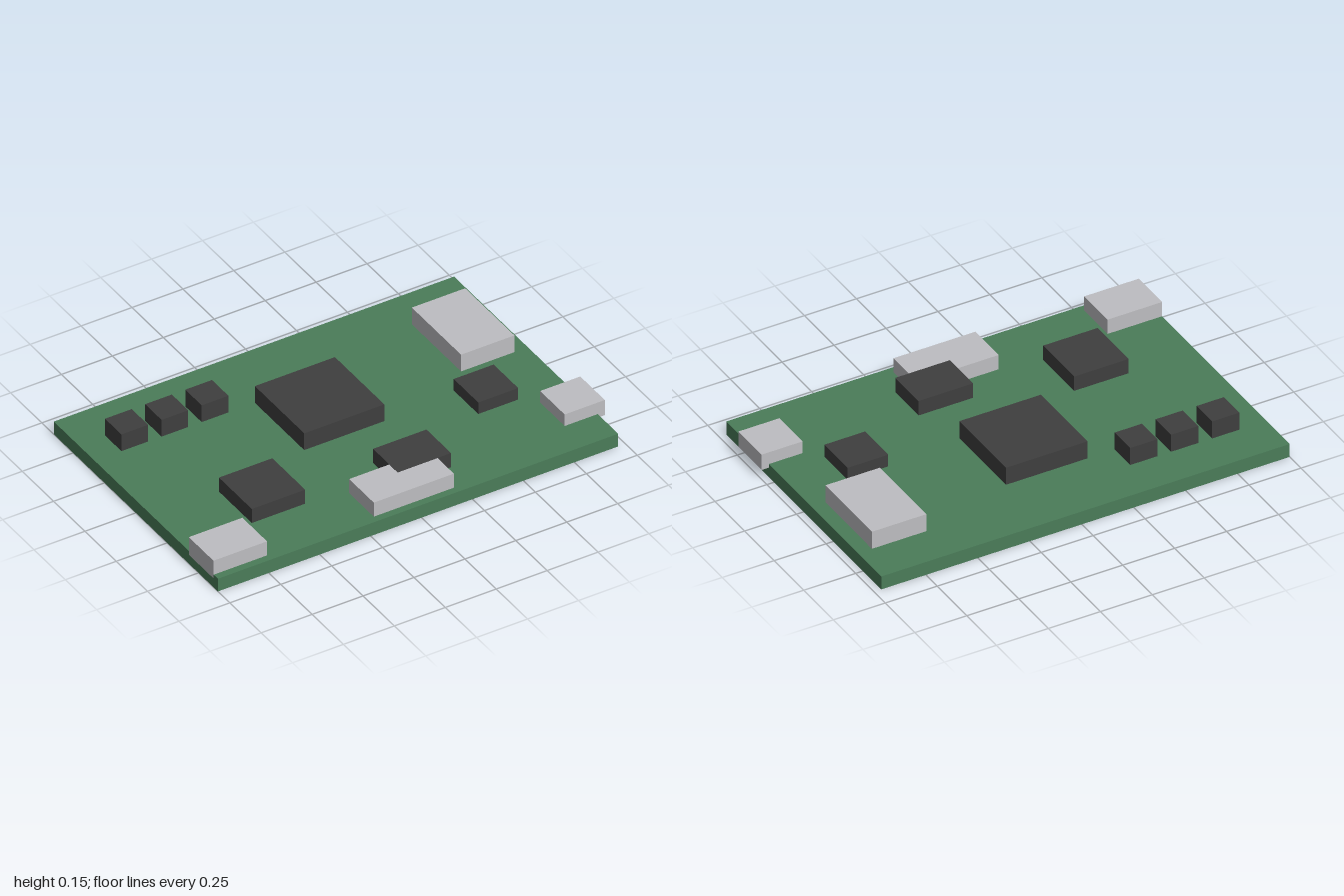
import * as THREE from 'three';

export function createModel() {
  const model = new THREE.Group();
  const material = (name, color) => {
    const m = new THREE.MeshStandardMaterial({ color });
    m.name = name;
    return m;
  };
  const green = material('boardGreen', 0x4a7c59);
  const silver = material('connectorSilver', 0xbdbdc1);
  const dark = material('chipDark', 0x3f3f3f);

  // Box given by its extents on each axis
  const block = (name, mat, [x0, x1], [y0, y1], [z0, z1]) => {
    const mesh = new THREE.Mesh(new THREE.BoxGeometry(x1 - x0, y1 - y0, z1 - z0), mat);
    mesh.name = name;
    mesh.position.set((x0 + x1) / 2, (y0 + y1) / 2, (z0 + z1) / 2);
    model.add(mesh);
  };

  // Circuit board
  block('board', green, [-1, 0.965], [0, 0.0655], [-0.655, 0.655]);

  // Components are seated slightly into the board
  const seat = 0.047;

  // Metal connectors
  block('networkConnector', silver, [0.637, 0.899], [seat, 0.152], [-0.459, -0.066]);
  block('sideConnector', silver, [0.803, 1], [seat, 0.125], [0.295, 0.491]);
  block('cornerConnector', silver, [-1.001, -0.738], [seat, 0.138], [0.424, 0.621]);
  block('frontConnector', silver, [-0.214, 0.179], [seat, 0.138], [0.424, 0.621]);

  // Integrated circuits
  block('mainProcessor', dark, [-0.214, 0.179], [seat, 0.152], [-0.328, 0.066]);
  block('memoryChip', dark, [-0.672, -0.41], [seat, 0.138], [0.13, 0.392]);
  block('frontChip', dark, [-0.017, 0.245], [seat, 0.139], [0.295, 0.491]);
  block('controllerChip', dark, [0.54, 0.736], [seat, 0.125], [0.033, 0.229]);

  // Row of small capacitors
  for (let i = 0; i < 3; i++) {
    const x = -0.869 + i * 0.197;
    block('capacitor' + (i + 1), dark, [x, x + 0.131], [seat, 0.152], [-0.459, -0.328]);
  }

  return model;
}
